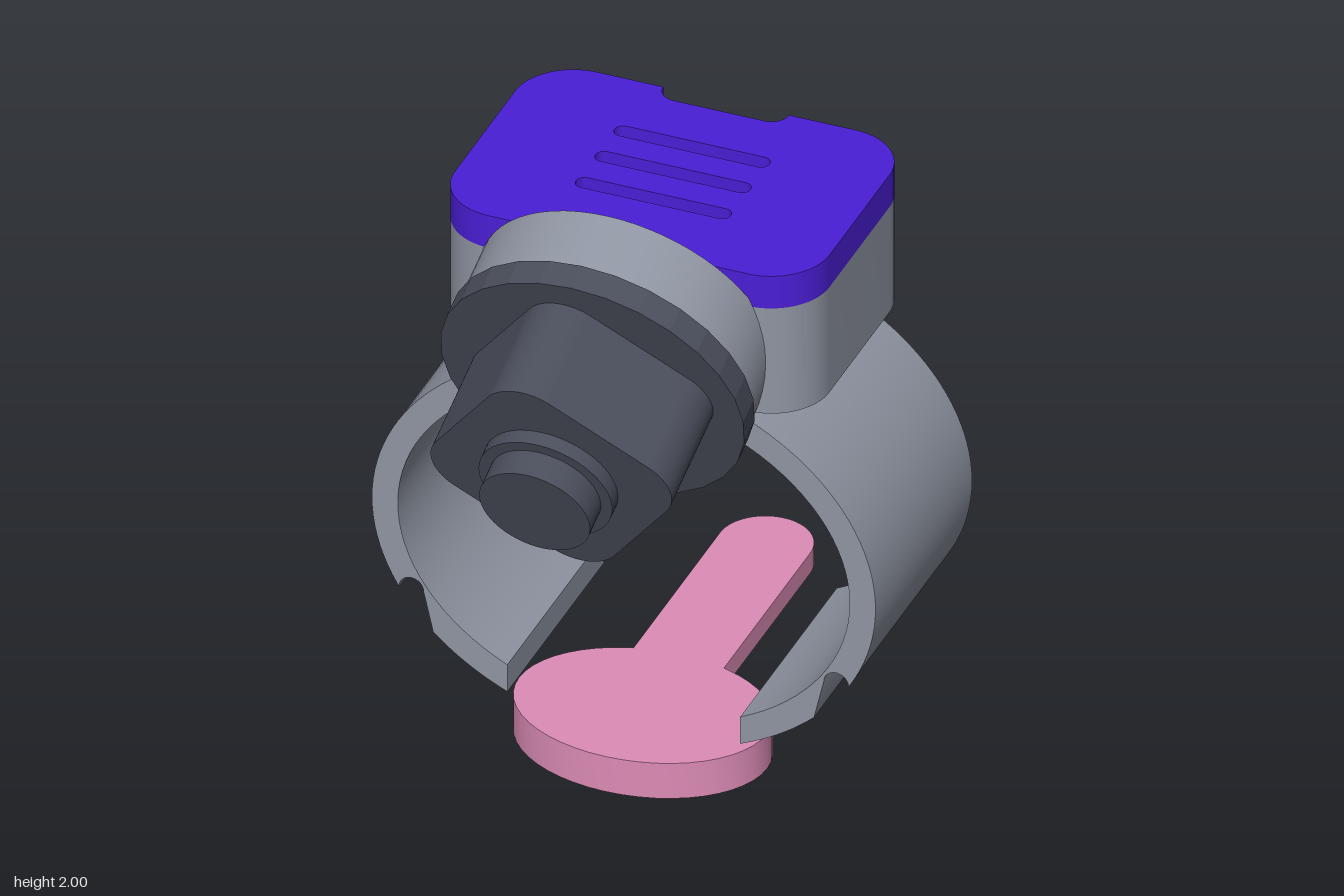
import * as THREE from 'three';
import { toCreasedNormals } from 'three/addons/utils/BufferGeometryUtils.js';

const PI = Math.PI;
const rad = THREE.MathUtils.degToRad;
const mat = (color) => new THREE.MeshStandardMaterial({ color });

// Solid from an outline, running along z from z0 to z1
function extrude(shape, z0, z1, segments = 24) {
  const g = new THREE.ExtrudeGeometry(shape, { depth: z1 - z0, bevelEnabled: false, curveSegments: segments });
  g.translate(0, 0, z0);
  return toCreasedNormals(g, rad(25));
}

// Solid from a plan outline (x, -z), standing from y0 to y1
const slab = (shape, y0, y1) => extrude(shape, y0, y1).rotateX(-PI / 2);

// Cylinder along z from z0 to z1
function disc(r, z0, z1, sides = 64) {
  const g = new THREE.CylinderGeometry(r, r, z1 - z0, sides);
  return g.rotateX(PI / 2).translate(0, 0, (z0 + z1) / 2);
}

function roundedRect(x0, y0, x1, y1, r, Type = THREE.Shape) {
  const s = new Type();
  s.absarc(x1 - r, y0 + r, r, -PI / 2, 0);
  s.absarc(x1 - r, y1 - r, r, 0, PI / 2);
  s.absarc(x0 + r, y1 - r, r, PI / 2, PI);
  s.absarc(x0 + r, y0 + r, r, PI, PI * 1.5);
  s.closePath();
  return s;
}

export function createModel() {
  const model = new THREE.Group();
  const grey = mat(0x8f95a2), dark = mat(0x4a4e5b), purple = mat(0x4a1ed6), pink = mat(0xdd8cb6);
  const add = (parent, name, geometry, material) => {
    const m = new THREE.Mesh(geometry, material);
    m.name = name;
    parent.add(m);
    return m;
  };

  // Open oval clamp with a groove and a flat near each end
  const cy = 0.77;
  const clamp = new THREE.Shape();
  clamp.absellipse(0, cy, 0.78, 0.635, rad(-62.5), rad(-40.9), false);
  clamp.lineTo(0.62, 0.485);
  clamp.absarc(0.658, 0.485, 0.038, PI, 0, true);
  clamp.absellipse(0, cy, 0.78, 0.635, rad(-26.2), rad(206.2), false);
  clamp.absarc(-0.658, 0.485, 0.038, PI, 0, true);
  clamp.lineTo(-0.59, 0.354);
  clamp.absellipse(0, cy, 0.78, 0.635, rad(220.9), rad(242.5), false);
  clamp.absellipse(0, cy, 0.70, 0.55, rad(239), rad(-59), true);
  clamp.closePath();
  add(model, 'clampRing', extrude(clamp, -0.49, 0.24, 40), grey);

  // Housing on top of the clamp
  add(model, 'housing', slab(roundedRect(-0.58, -0.28, 0.58, 0.535, 0.18), 1.38, 1.74), grey);

  // Lid with a finger notch in its back edge and three vent slots
  const lid = new THREE.Shape();
  lid.absarc(0.4, -0.10, 0.18, -PI / 2, 0);
  lid.absarc(0.4, 0.355, 0.18, 0, PI / 2);
  lid.lineTo(0.195, 0.535);
  lid.absarc(0.14, 0.535, 0.055, 0, -PI / 2, true);
  lid.absarc(-0.14, 0.535, 0.055, -PI / 2, -PI, true);
  lid.absarc(-0.4, 0.355, 0.18, PI / 2, PI);
  lid.absarc(-0.4, -0.10, 0.18, PI, PI * 1.5);
  lid.closePath();
  for (const y of [0.277, 0.133, -0.015]) {
    lid.holes.push(roundedRect(-0.24, y - 0.027, 0.24, y + 0.027, 0.0265, THREE.Path));
  }
  add(model, 'lid', slab(lid, 1.74, 1.85), purple);

  // Tilted socket assembly, its axis along local z
  const socket = new THREE.Group();
  socket.name = 'socketAssembly';
  socket.position.set(0, 1.458, 0.531);
  socket.rotation.x = rad(20);
  model.add(socket);

  // Barrel whose bore has three bayonet pockets
  const barrel = new THREE.Shape().absarc(0, 0, 0.453, 0, PI * 2);
  const bore = new THREE.Path();
  for (let i = 0; i < 3; i++) {
    const a = rad(99 + i * 120);
    bore.absarc(0, 0, 0.39, a, a + rad(43));
    bore.absarc(0, 0, 0.31, a + rad(43), a + rad(120));
  }
  bore.closePath();
  barrel.holes.push(bore);
  add(socket, 'barrel', extrude(barrel, -0.341, -0.142, 32), grey);
  add(socket, 'barrelPlug', disc(0.3, -0.31, -0.1), dark);

  // Cap: faceted flange, rounded square grip, stepped button
  add(socket, 'capFlange', toCreasedNormals(disc(0.467, -0.142, -0.058, 28), rad(8)), dark);
  const grip = extrude(roundedRect(-0.31, -0.31, 0.31, 0.31, 0.14), -0.06, 0.274).rotateZ(rad(54));
  add(socket, 'capGrip', grip, dark);
  add(socket, 'buttonCollar', disc(0.205, 0.27, 0.32), dark);
  add(socket, 'button', disc(0.17, 0.31, 0.407), dark);

  // Oval plug with a flat pull tab
  const oval = (rx, rz) => new THREE.Shape().absellipse(0, -0.093, rx, rz, 0, PI * 2);
  add(model, 'plugHead', slab(oval(0.385, 0.289), 0.04, 0.16), pink);
  add(model, 'plugFoot', slab(oval(0.278, 0.203), 0, 0.041), pink);
  const tab = new THREE.Shape();
  tab.moveTo(-0.14, 0);
  tab.lineTo(0.14, 0);
  tab.absarc(0, 0.83, 0.14, 0, PI);
  tab.closePath();
  add(model, 'pullTab', slab(tab, 0.09, 0.1598), pink);

  return model;
}
